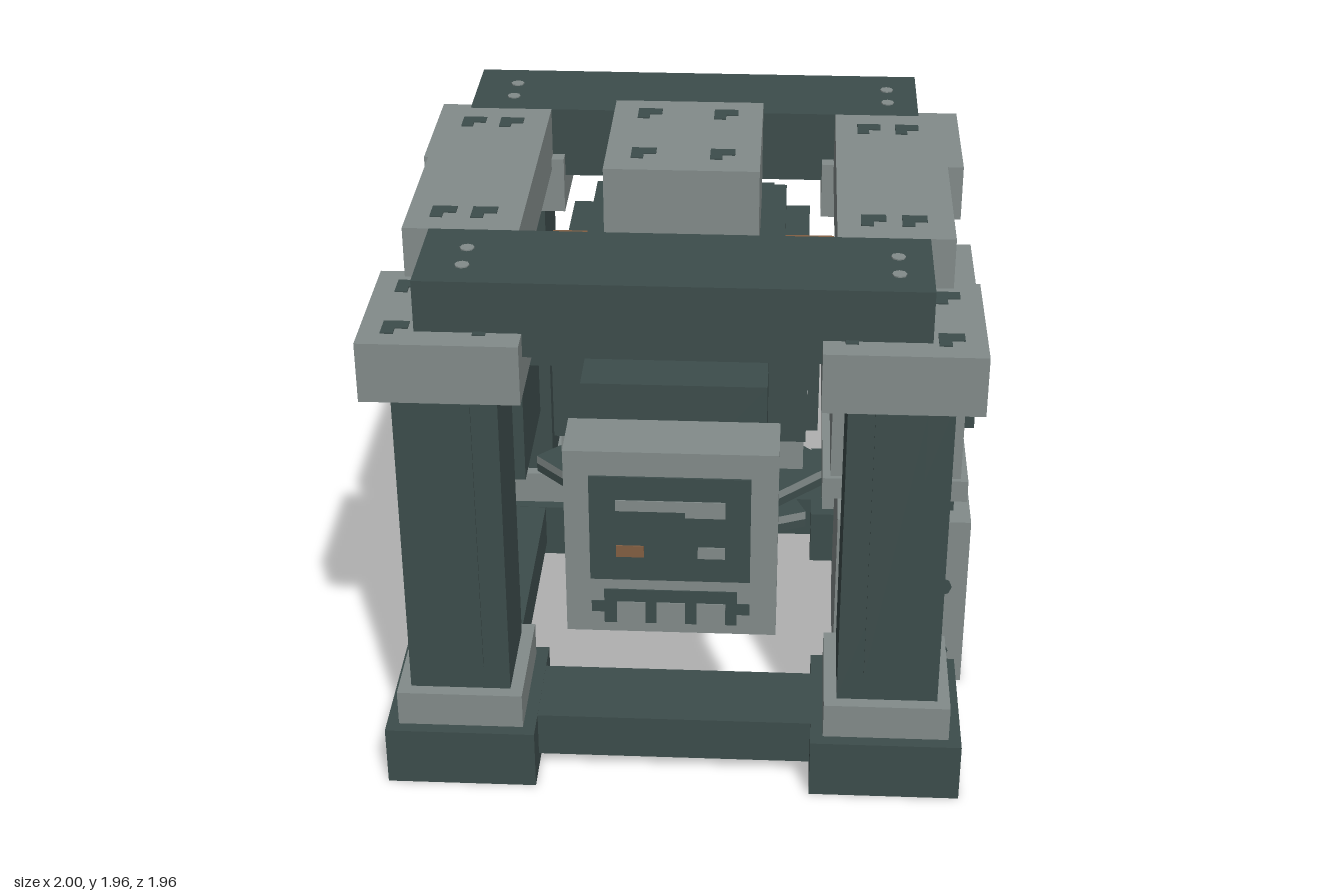
import * as THREE from 'three';

const flat = (name, color) => {
  const m = new THREE.MeshStandardMaterial({ color });
  m.name = name;
  return m;
};

export function createModel() {
  const root = new THREE.Group();
  root.name = 'machineFrame';
  const dark = flat('darkIron', 0x3d4d4c);
  const grey = flat('greySteel', 0x838c8b);
  const brown = flat('copper', 0x835f43);

  const add = (name, geo, mat, x = 0, y = 0, z = 0) => {
    const m = new THREE.Mesh(geo, mat);
    m.name = name;
    m.position.set(x, y, z);
    root.add(m);
    return m;
  };
  // Box given by its lower and upper bounds on each axis
  const box = (name, mat, x0, x1, y0, y1, z0, z1) =>
    add(name, new THREE.BoxGeometry(x1 - x0, y1 - y0, z1 - z0), mat, (x0 + x1) / 2, (y0 + y1) / 2, (z0 + z1) / 2);
  // Thin round bolt head facing along an axis
  const bolt = (mat, axis, x, y, z, r = 0.023) => {
    const m = add('bolt', new THREE.CylinderGeometry(r, r, 0.008, 8), mat, x, y, z);
    if (axis === 'x') m.rotation.z = Math.PI / 2;
    if (axis === 'z') m.rotation.x = Math.PI / 2;
  };
  // Hooked mark lying on a top face
  const hook = (x, y, z) => {
    box('hookMark', dark, x - 0.04, x + 0.04, y, y + 0.004, z - 0.04, z + 0.005);
    box('hookMark', dark, x - 0.04, x, y, y + 0.004, z + 0.005, z + 0.04);
  };
  // Flat outline extruded toward +x; points are [z, y]
  const sidePlate = (name, mat, pts, x, depth, holePts) => {
    const toV = ([z, y]) => new THREE.Vector2(-z, y);
    const s = new THREE.Shape(pts.map(toV));
    if (holePts) s.holes.push(new THREE.Path(holePts.map(toV)));
    const m = add(name, new THREE.ExtrudeGeometry(s, { depth, bevelEnabled: false }), mat, x);
    m.rotation.y = Math.PI / 2;
  };

  // Four corner columns
  for (const cx of [-0.71, 0.697]) for (const cz of [-0.73, 0.68]) {
    const block = (name, mat, h, y0, y1) => box(name, mat, cx - h, cx + h, y0, y1, cz - h, cz + h);
    block('foot', dark, 0.248, 0, 0.21);
    block('footCollar', grey, 0.207, 0.21, 0.335);
    block('pillar', dark, 0.165, 0.335, 1.46);
    block('pillarCap', grey, 0.248, 1.46, 1.66);
    box('pillarPanel', dark, cx - 0.08, cx + 0.08, 0.42, 1.415, cz + 0.165, cz + 0.172);
    for (const dx of [-0.14, 0.14]) for (const dz of [-0.14, 0.14]) {
      bolt(grey, 'y', cx + dx, -0.001 + 0.004, cz + dz, 0.02);
      hook(cx + dx, 1.66, cz + dz);
    }
  }

  // Lower ring of beams
  for (const z of [-0.73, 0.68]) box('baseBeam', dark, -0.47, 0.46, 0.05, 0.209, z - 0.14, z + 0.14);
  for (const x of [-0.71, 0.697]) box('baseSideBeam', dark, x - 0.14, x + 0.14, 0.05, 0.209, -0.49, 0.44);

  // Upper beams
  for (const z of [-0.715, 0.655]) {
    box('topBeam', dark, -0.79, 0.78, 1.58, 1.83, z - 0.185, z + 0.185);
    for (const x of [-0.65, 0.675]) for (const d of [-0.05, 0.08 - 0.01]) bolt(grey, 'y', x, 1.83, z + d);
  }
  for (const x of [-0.69, 0.675]) {
    box('topSideBeam', grey, x - 0.185, x + 0.185, 1.62, 1.83, -0.53, 0.47);
    for (const d of [-0.07, 0.06]) for (const z of [-0.4, 0.345]) hook(x + d, 1.83, z);
  }

  // Central core, stepped upward
  box('core', dark, -0.425, 0.41, 1.04, 1.5, -0.485, 0.387);
  box('coreStep', dark, -0.335, 0.327, 1.5, 1.617, -0.4, 0.347);
  box('topHead', grey, -0.257, 0.242, 1.617, 1.955, -0.315, 0.265);
  for (const x of [-0.135, 0.12]) for (const z of [-0.2, 0.135]) hook(x, 1.955, z);
  box('coreBase', grey, -0.42, 0.405, 0.84, 1.04, -0.395, 0.23);
  box('coreLip', dark, -0.4, 0.39, 1.0, 1.04, 0.23, 0.31);
  box('coreSidePad', dark, 0.41, 0.45, 1.04, 1.455, 0.1, 0.31);
  for (const y of [1.185, 1.39]) for (const z of [-0.33, 0.29]) bolt(grey, 'x', 0.41, y, z);
  for (const x of [-0.32, 0.31]) bolt(grey, 'z', x, 1.39, 0.388);
  for (const [a, b] of [[-0.425, -0.335], [0.327, 0.41]]) box('clampBlock', grey, a, b, 1.5, 1.58, 0.09, 0.27);

  // Copper straps over both sides of the core
  box('leftStrap', brown, -0.46, -0.425, 0.87, 1.58, -0.07, 0.01);
  box('leftStrapTop', brown, -0.425, -0.335, 1.5, 1.58, -0.07, 0.01);
  box('rightStrapTop', brown, 0.327, 0.41, 1.5, 1.58, -0.07, 0.01);
  box('rightStrap', brown, 0.41, 0.49, 1.25, 1.58, -0.07, 0.01);
  box('rightStrapLower', brown, 0.41, 0.445, 0.87, 1.25, -0.07, 0.01);

  // Rear housing
  box('rearHousing', dark, -0.295, 0.282, 1.21, 1.5, -0.68, -0.485);

  // Twisting stack of square plates around a post
  box('drillPost', dark, -0.085, 0.07, 0.2, 0.84, -0.1, 0.055);
  const bandMats = [grey, grey, dark, dark, grey, grey];
  for (let i = 0; i < 6; i++) {
    const s = 0.752 - i * 0.0975, top = 0.714 - i * 0.0935;
    for (const [k, mat] of [[0, bandMats], [1, dark]]) {
      const m = add('drillPlate', new THREE.BoxGeometry(s, 0.031, s), mat, -0.007, top - 0.0155 - k * 0.031, -0.025);
      m.rotation.y = (45 - i * 22.5) * Math.PI / 180;
    }
  }

  // Front display box
  box('displayCollar', grey, -0.295, 0.282, 1.17, 1.41, 0.387, 0.52);
  box('displayBack', dark, -0.295, 0.285, 0.76, 1.455, 0.515, 0.77);
  box('displayBox', grey, -0.335, 0.327, 0.67, 1.33, 0.77, 0.97);
  box('screen', dark, -0.257, 0.243, 0.87, 1.245, 0.97, 0.977);
  const mark = (mat, x0, x1, y0, y1, z = 0.977) => box('screenMark', mat, x0, x1, y0, y1, z, z + 0.004);
  mark(grey, -0.175, 0.165, 1.125, 1.163);
  mark(grey, 0.04, 0.165, 1.105, 1.125);
  mark(brown, -0.175, -0.088, 0.957, 0.998);
  mark(grey, 0.08, 0.165, 0.957, 0.998);
  mark(dark, -0.215, 0.203, 0.705, 0.83, 0.97);
  mark(dark, -0.255, -0.215, 0.745, 0.785, 0.97);
  mark(dark, 0.203, 0.243, 0.745, 0.785, 0.97);
  for (const x of [-0.13, -0.005, 0.122]) mark(grey, x - 0.045, x + 0.045, 0.707, 0.785, 0.973);

  // Framed socket on the right-hand side of the machine
  box('socketArm', dark, -0.6, -0.425, 1.17, 1.41, -0.2, 0.14);
  box('socketBody', dark, -0.9, -0.55, 0.76, 1.25, -0.265, 0.215);
  const rect = (h) => [[-0.027 - h, 1.002 - h], [-0.027 + h, 1.002 - h], [-0.027 + h, 1.002 + h], [-0.027 - h, 1.002 + h]];
  sidePlate('socketFrame', grey, rect(0.292), -0.96, 0.13, rect(0.19));
  box('socketStub', grey, -1, -0.88, 0.917, 1.083, -0.11, 0.06);

  // Lower cabinet on the left-hand side
  box('lowerCabinet', grey, 0.53, 0.987, 0, 0.665, -0.315, 0.268);
  box('cabinetPanel', dark, 0.987, 0.994, 0.13, 0.54, -0.19, 0.147);
  sidePlate('cabinetSymbol', grey, [
    [0.06, 0.5], [0.06, 0.46], [0.025, 0.44], [0.025, 0.32], [0.065, 0.29], [0.065, 0.25], [0.03, 0.21],
    [-0.06, 0.21], [-0.105, 0.25], [-0.105, 0.29], [-0.06, 0.32], [-0.06, 0.44], [-0.1, 0.46], [-0.1, 0.5],
  ], 0.994, 0.005);
  for (const x of [0.65, 0.9]) for (const y of [0.13, 0.4]) for (const z of [-0.315, 0.268]) bolt(dark, 'z', x, y, z, 0.035);

  // Upper cabinet with rims and panels
  box('cabinetWaist', dark, 0.55, 0.93, 0.665, 0.735, -0.24, 0.19);
  box('upperCabinetBase', grey, 0.473, 0.97, 0.735, 0.815, -0.298, 0.245);
  box('upperCabinet', grey, 0.5, 0.945, 0.815, 1.37, -0.27, 0.228);
  box('upperCabinetRim', grey, 0.473, 0.97, 1.37, 1.45, -0.298, 0.245);
  box('upperPanel', dark, 0.945, 0.951, 0.82, 1.33, -0.225, 0.147);
  for (const z of [-0.274, 0.232]) box('upperPanelSide', dark, 0.545, 0.903, 0.82, 1.33, z - 0.004, z + 0.004);
  for (let i = 0; i < 4; i++) {
    const z = 0.08 - i * 0.028, y = 1.19 + i * 0.029;
    box('gaugeMark', grey, 0.951, 0.955, y - 0.02, y + 0.02, z - 0.02, z + 0.02);
  }
  box('dial', dark, 0.951, 0.993, 0.92, 1.083, -0.105, 0.06);
  sidePlate('dialMark', grey, [[0.03, 1.03], [0.03, 1.01], [-0.062, 1.01], [-0.062, 1.04], [-0.035, 1.065], [0.005, 1.065]], 0.993, 0.004);

  // Connector between cabinet and upper beam
  box('connectorPost', dark, 0.6, 0.8, 1.45, 1.585, -0.1, 0.1);
  box('connectorPlate', grey, 0.58, 0.82, 1.585, 1.62, -0.123, 0.123);

  return root;
}
